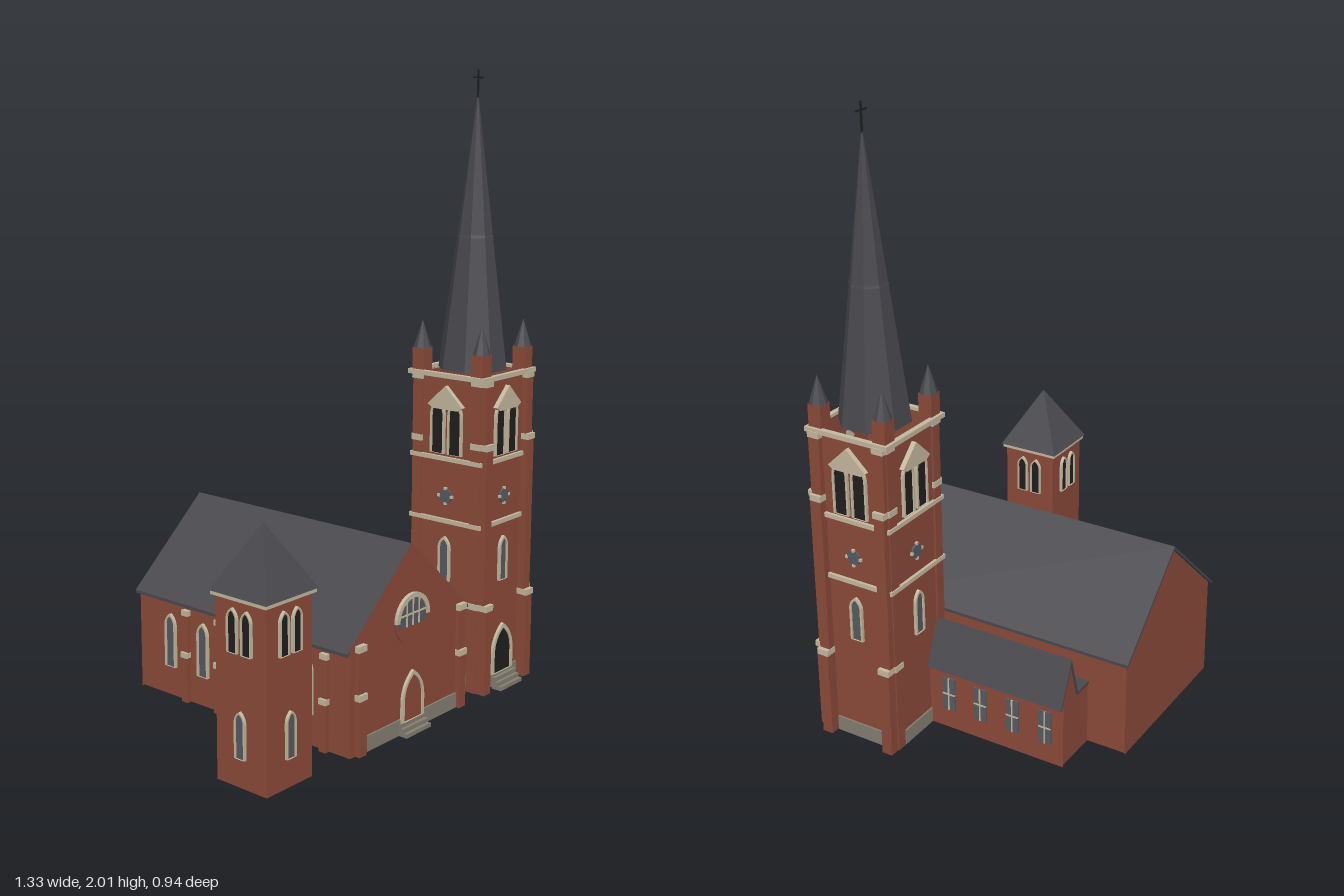
import * as THREE from 'three';

const mat = (name, color, side = THREE.FrontSide) => {
  const m = new THREE.MeshStandardMaterial({ color, side });
  m.name = name;
  return m;
};
const brick = mat('brick', 0x8b4a39, THREE.DoubleSide);
const slate = mat('slate', 0x49494e, THREE.DoubleSide);
const stone = mat('pale stone', 0xc4b89f);
const base = mat('grey stone', 0x837e71);
const dark = mat('dark opening', 0x1f1f20, THREE.DoubleSide);
const glass = mat('glass', 0x565b62);

function add(parent, name, geo, material, x = 0, y = 0, z = 0) {
  const m = new THREE.Mesh(geo, material);
  m.name = name;
  m.position.set(x, y, z);
  parent.add(m);
  return m;
}
// Box given by its bottom height
const box = (p, name, material, w, h, d, x, y, z) =>
  add(p, name, new THREE.BoxGeometry(w, h, d), material, x, y + h / 2, z);
const group = (p, name, x = 0, y = 0, z = 0, ry = 0) => {
  const g = new THREE.Group();
  g.name = name;
  g.position.set(x, y, z);
  g.rotation.y = ry;
  p.add(g);
  return g;
};
const polygon = pts => new THREE.Shape(pts.map(p => new THREE.Vector2(...p)));
const extrude = (shape, depth) =>
  new THREE.ExtrudeGeometry(shape, { depth, bevelEnabled: false, curveSegments: 8 });

// Pointed arch outline standing on y = 0
function archShape(w, h) {
  const a = w / 2, s = h - w * 0.9, c = s + w * 0.55;
  const sh = new THREE.Shape();
  sh.moveTo(-a, 0);
  sh.lineTo(a, 0);
  sh.lineTo(a, s);
  sh.quadraticCurveTo(a, c, 0, h);
  sh.quadraticCurveTo(-a, c, -a, s);
  return sh;
}
// Pointed opening with a stone surround, facing +z
function lancet(p, name, fill, w, h, x, y, z, t = 0.007) {
  const g = group(p, name, x, y, z);
  add(g, 'opening', extrude(archShape(w, h), 0.005), fill);
  const rim = archShape(w + 2 * t, h + t * 1.4);
  rim.holes.push(archShape(w, h));
  add(g, 'surround', extrude(rim, 0.01), stone);
}
// Open square shell without floor or lid
function shell(p, name, half, h) {
  const g = group(p, name);
  for (let i = 0; i < 4; i++) {
    const side = group(g, 'wallSide', 0, 0, 0, i * Math.PI / 2);
    add(side, 'wall', new THREE.PlaneGeometry(half * 2, h), brick, 0, h / 2, half);
  }
}
// Square stone band, open in the middle
function band(p, name, half, h, y, inner) {
  const s = polygon([[-half, -half], [half, -half], [half, half], [-half, half]]);
  s.holes.push(polygon([[-inner, -inner], [-inner, inner], [inner, inner], [inner, -inner]]));
  add(p, name, extrude(s, h).rotateX(-Math.PI / 2), stone, 0, y, 0);
}
function steps(p, x, z) {
  const g = group(p, 'steps', x, 0, z);
  for (let i = 0; i < 3; i++) box(g, 'step', base, 0.122, 0.013, 0.037 - i * 0.012, 0, i * 0.013, (0.037 - i * 0.012) / 2);
}

function bellTower(root) {
  const g = group(root, 'bellTower', 0.493, 0, 0.286), H = 0.132;
  shell(g, 'towerWalls', H, 1.04);
  band(g, 'lowerBand', 0.142, 0.014, 0.555, H);
  band(g, 'upperBand', 0.142, 0.014, 0.762, H);
  band(g, 'cornice', 0.149, 0.015, 1.035, H);

  for (let i = 0; i < 4; i++) {
    const s = group(g, 'towerSide', 0, 0, 0, i * Math.PI / 2);
    box(s, 'plinth', base, 0.19, 0.05, 0.012, 0, 0, H);
    // Stepped buttresses on the front and outer side, flat pilasters elsewhere
    const deep = i < 2;
    for (const x of [-0.116, 0.116]) {
      [[0, 0.3, 0.035], [0.3, 0.83, 0.025], [0.83, 1.035, 0.017]].forEach(([y0, y1, d]) => {
        const out = deep ? d : 0.006;
        box(s, 'buttress', brick, 0.036, y1 - y0, out, x, y0, H + out / 2);
        box(s, 'buttressCap', stone, 0.04, 0.02, out + 0.003, x, y1 - 0.015, H + (out + 0.003) / 2);
      });
    }
    // Belfry openings under a stone gable
    for (const x of [-0.034, 0.034]) lancet(s, 'belfryOpening', dark, 0.042, 0.165, x, 0.785, H);
    add(s, 'belfryGable', extrude(polygon([[-0.068, 0], [-0.05, -0.012], [0.05, -0.012], [0.068, 0], [0, 0.065]]), 0.016), stone, 0, 0.945, H);
    // Round window with four keystones
    add(s, 'roundWindow', new THREE.CylinderGeometry(0.024, 0.024, 0.012, 16).rotateX(Math.PI / 2), glass, 0, 0.645, H);
    for (let k = 0; k < 4; k++) {
      const a = k * Math.PI / 2;
      box(s, 'keystone', stone, 0.009, 0.009, 0.016, Math.cos(a) * 0.025, 0.6405 + Math.sin(a) * 0.025, H);
    }
    lancet(s, 'lancetWindow', glass, 0.032, 0.14, 0, 0.36, H);
  }
  lancet(g, 'towerDoor', dark, 0.092, 0.15, 0, 0.045, H + 0.005, 0.012);
  steps(g, 0, 0.147);

  // Corner turrets
  for (const x of [-0.116, 0.116]) for (const z of [-0.116, 0.116]) {
    box(g, 'turret', brick, 0.046, 0.075, 0.046, x, 1.045, z);
    add(g, 'turretCap', new THREE.ConeGeometry(0.029, 0.09, 8).toNonIndexed(), slate, x, 1.165, z).geometry.computeVertexNormals();
  }
  // Eight-sided spire with its collar and cross
  const oct = (r0, r1, h) => {
    const c = new THREE.CylinderGeometry(r0, r1, h, 8, 1, true).rotateY(Math.PI / 8).toNonIndexed();
    c.computeVertexNormals();
    return c;
  };
  add(g, 'spire', oct(0.002, 0.113, 0.87), slate, 0, 1.485, 0);
  add(g, 'spireCollar', oct(0.058, 0.06, 0.008), slate, 0, 1.48, 0);
  box(g, 'crossPost', dark, 0.005, 0.09, 0.005, 0, 1.91, 0);
  box(g, 'crossArm', dark, 0.05, 0.005, 0.005, 0, 1.973, 0);
}

function nave(root) {
  const g = group(root, 'nave', -0.01), F = 0.432, B = -0.463, W = 0.288, E = 0.34;
  const gable = new THREE.ShapeGeometry(polygon([[-W, 0], [W, 0], [W, E], [0, 0.6], [-W, E]]));
  add(g, 'frontWall', gable, brick, 0, 0, F);
  add(g, 'backWall', gable, brick, 0, -0.006, B).rotation.y = Math.PI;
  for (const s of [-1, 1])
    add(g, 'sideWall', new THREE.PlaneGeometry(F - B, E), brick, s * W, E / 2, (F + B) / 2).rotation.y = s * Math.PI / 2;
  const roof = polygon([[-0.3, 0.328], [-0.3, 0.318], [0, 0.587], [0.3, 0.318], [0.3, 0.328], [0, 0.598]]);
  add(g, 'naveRoof', extrude(roof, 0.904), slate, 0, 0, -0.473);

  // Front: plinth, buttresses, door and steps
  box(g, 'frontPlinth', base, 0.47, 0.05, 0.012, 0, 0, F);
  for (const x of [-0.248, 0.252]) {
    box(g, 'frontButtress', brick, 0.034, 0.185, 0.018, x, 0, F + 0.009);
    box(g, 'frontButtress', brick, 0.034, 0.15, 0.012, x, 0.185, F + 0.006);
    box(g, 'buttressCap', stone, 0.038, 0.02, 0.02, x, 0.175, F + 0.01);
    box(g, 'buttressCap', stone, 0.038, 0.02, 0.016, x, 0.325, F + 0.008);
  }
  lancet(g, 'naveDoor', brick, 0.088, 0.145, 0, 0.04, F + 0.005, 0.01);
  add(g, 'doorInside', new THREE.ShapeGeometry(archShape(0.09, 0.18)), dark, 0, 0, F - 0.004);
  steps(g, 0, F);

  // Half-round window over a brick roundel
  const r = group(g, 'roundelWindow', 0, 0.362, F);
  add(r, 'roundel', new THREE.CylinderGeometry(0.08, 0.08, 0.008, 32).rotateX(Math.PI / 2), brick);
  const half = new THREE.Shape();
  half.absarc(0, 0, 0.07, 0, Math.PI);
  half.lineTo(-0.066, -0.02);
  half.lineTo(0.066, -0.02);
  add(r, 'pane', extrude(half, 0.004), glass, 0, 0, 0.003);
  const ring = new THREE.Shape();
  ring.absarc(0, 0, 0.082, 0, Math.PI);
  ring.absarc(0, 0, 0.067, Math.PI, 0, true);
  add(r, 'arch', extrude(ring, 0.012), stone);
  for (const x of [-0.03, 0, 0.03]) box(r, 'mullion', stone, 0.005, x ? 0.08 : 0.088, 0.006, x, -0.02, 0.007);
  box(r, 'transom', stone, 0.136, 0.005, 0.006, 0, 0.015, 0.007);

  // Left flank: buttresses and tall windows
  const flank = group(g, 'flank', -W, 0, 0, -Math.PI / 2);
  for (let i = 0; i < 5; i++) {
    const x = -0.245 + i * 0.146;
    box(flank, 'flankButtress', brick, 0.026, 0.16, 0.018, x, 0, 0.009);
    box(flank, 'flankButtress', brick, 0.026, 0.14, 0.011, x, 0.16, 0.0055);
    box(flank, 'flankCap', stone, 0.028, 0.018, 0.02, x, 0.15, 0.01);
    box(flank, 'flankCap', stone, 0.028, 0.018, 0.015, x, 0.29, 0.0075);
    lancet(flank, 'flankWindow', glass, 0.034, 0.17, x - 0.073, 0.1, 0);
  }
}

function aisle(root) {
  const g = group(root, 'aisle'), X = 0.44, F = 0.155, B = -0.335;
  // Cross-section of the aisle with its steep roof
  const end = new THREE.ShapeGeometry(polygon([[0.278, 0], [X, 0], [X, 0.22], [0.39, 0.35], [0.35, 0.22], [0.278, 0.22]]));
  add(g, 'aisleFrontWall', end, brick, 0, 0, F);
  add(g, 'aisleBackWall', end, brick, 0, 0, B + 0.006);
  add(g, 'aisleSideWall', new THREE.PlaneGeometry(F - B, 0.22), brick, X, 0.11, (F + B) / 2).rotation.y = Math.PI / 2;
  const roof = polygon([[0.28, 0.215], [0.353, 0.215], [0.39, 0.347], [0.448, 0.208], [0.454, 0.21], [0.39, 0.36], [0.35, 0.224], [0.28, 0.224]]);
  add(g, 'aisleRoof', extrude(roof, F - B), slate, 0, 0, B);
  for (const z of [0.08, -0.037, -0.155, -0.272]) {
    const w = group(g, 'aisleWindow', X, 0.07, z, Math.PI / 2);
    box(w, 'pane', glass, 0.044, 0.115, 0.006, 0, 0, 0.003);
    box(w, 'mullion', stone, 0.005, 0.115, 0.008, 0, 0, 0.004);
    box(w, 'transom', stone, 0.044, 0.005, 0.008, 0, 0.055, 0.004);
  }
}

function smallTower(root) {
  const g = group(root, 'smallTower', -0.553, 0, 0.326), H = 0.096;
  shell(g, 'smallTowerWalls', H, 0.565);
  band(g, 'eavesBand', 0.106, 0.012, 0.555, H);
  const roof = new THREE.ConeGeometry(0.11 * Math.SQRT2, 0.195, 4, 1, true).rotateY(Math.PI / 4).toNonIndexed();
  roof.computeVertexNormals();
  add(g, 'smallTowerRoof', roof, slate, 0, 0.6645, 0);
  for (let i = 0; i < 4; i++) {
    const s = group(g, 'smallTowerSide', 0, 0, 0, i * Math.PI / 2);
    for (const x of [-0.027, 0.027]) lancet(s, 'upperOpening', dark, 0.03, 0.125, x, 0.4, H, 0.005);
    lancet(s, 'lowerWindow', glass, 0.03, 0.135, 0, 0.09, H, 0.005);
  }
}

export function createModel() {
  const root = new THREE.Group();
  root.name = 'church';
  nave(root);
  aisle(root);
  bellTower(root);
  smallTower(root);
  return root;
}
